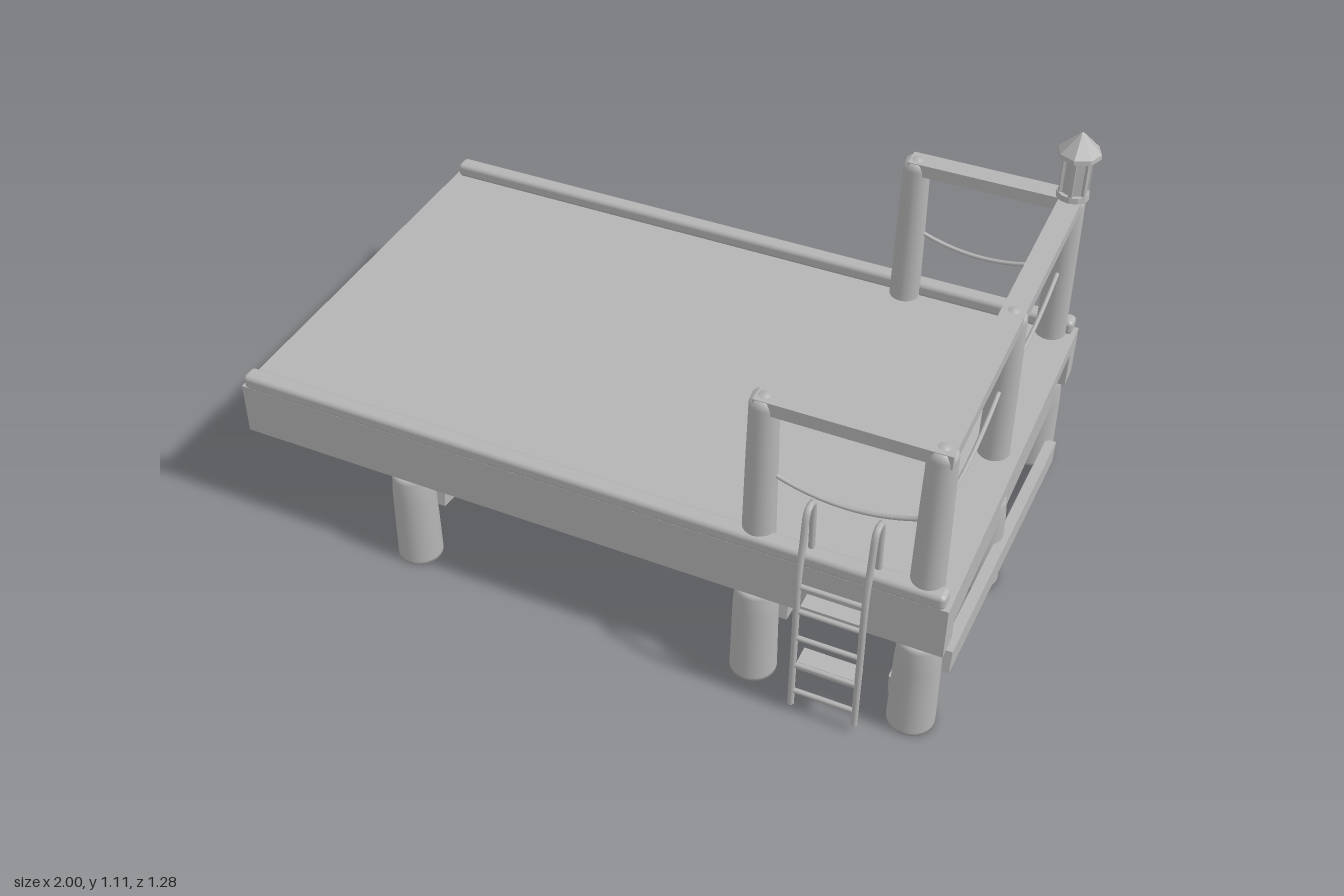
import * as THREE from 'three';
import { RoundedBoxGeometry } from 'three/addons/geometries/RoundedBoxGeometry.js';

const wood = new THREE.MeshStandardMaterial({ color: 0xb4b4b4 });
wood.name = 'plain grey';

const Z_FRONT = 0.53, Z_MID = -0.02, Z_BACK = -0.575;
const X_END = 0.92, X_INNER = 0.49, X_SHORE = -0.51;

export function createModel() {
  const model = new THREE.Group();
  model.name = 'dock';

  const add = (name, geometry, x = 0, y = 0, z = 0) => {
    const mesh = new THREE.Mesh(geometry, wood);
    mesh.name = name;
    mesh.position.set(x, y, z);
    model.add(mesh);
    return mesh;
  };
  // Box given by its extents
  const box = (name, x0, x1, y0, y1, z0, z1) =>
    add(name, new THREE.BoxGeometry(x1 - x0, y1 - y0, z1 - z0), (x0 + x1) / 2, (y0 + y1) / 2, (z0 + z1) / 2);
  // Round part turned from [radius, height] pairs
  const turned = (name, profile, x, z, sides = 24) =>
    add(name, new THREE.LatheGeometry(profile.map(([r, y]) => new THREE.Vector2(r, y)), sides), x, 0, z);
  const tube = (name, points, radius, steps = 24) =>
    add(name, new THREE.TubeGeometry(new THREE.CatmullRomCurve3(points), steps, radius, 8));

  // Deck, side beams and rounded kerbs
  box('deck', -1, 0.99, 0.41, 0.455, -0.62, 0.577);
  box('frontBeam', -1, 0.99, 0.3, 0.41, 0.505, 0.577);
  box('backBeam', -1, 0.99, 0.3, 0.41, -0.62, -0.548);
  for (const [name, z] of [['frontKerb', 0.557], ['backKerb', -0.6]]) {
    add(name, new RoundedBoxGeometry(1.97, 0.045, 0.05, 3, 0.014), -0.005, 0.475, z);
  }

  // Piles under the deck
  const pile = (x, z) => turned('pile',
    [[0, 0], [0.062, 0], [0.062, 0.01], [0.059, 0.22], [0.055, 0.285], [0.049, 0.3], [0, 0.3]], x, z);
  // Sloping brace between the front and back piles
  const brace = (x, yFront, yBack) => {
    const dz = 1.04, dy = yFront - yBack;
    const mesh = add('crossBrace', new THREE.BoxGeometry(0.03, 0.068, Math.hypot(dz, dy)),
      x, (yFront + yBack) / 2, -0.022);
    mesh.rotation.x = -Math.atan2(dy, dz);
  };
  for (const x of [X_SHORE, X_INNER, X_END]) {
    pile(x, Z_FRONT);
    pile(x, Z_BACK);
    box('pileCrossbeam', x - 0.045, x + 0.045, 0.225, 0.295, Z_BACK, Z_FRONT);
    brace(x + 0.06, 0.203, 0.055);
    brace(x - 0.06, 0.055, 0.195);
  }
  pile(X_END, Z_MID);

  // Railing posts
  const posts = [[X_INNER, Z_FRONT], [X_END, Z_FRONT], [X_END, Z_MID], [X_END, Z_BACK], [X_INNER, Z_BACK]];
  for (const [x, z] of posts) {
    turned('railingPost', [[0.043, 0.45], [0.04, 0.7], [0.037, 0.885], [0.031, 0.908], [0, 0.912]], x, z);
  }

  // Top rails
  box('frontRail', X_INNER - 0.02, X_END + 0.03, 0.873, 0.91, 0.497, 0.557);
  box('backRail', X_INNER - 0.02, X_END + 0.03, 0.873, 0.91, -0.607, -0.547);
  box('endRail', X_END - 0.03, X_END + 0.03, 0.873, 0.91, -0.6, 0.555);

  // Ropes sagging from post to post
  for (let i = 0; i + 1 < posts.length; i++) {
    const [x0, z0] = posts[i], [x1, z1] = posts[i + 1];
    const points = [];
    for (let k = 0; k <= 8; k++) {
      const t = k / 8;
      const y = 0.69 - 0.05 * (1 - (2 * t - 1) ** 2);
      points.push(new THREE.Vector3(x0 + (x1 - x0) * t, y, z0 + (z1 - z0) * t));
    }
    tube('rope', points, 0.006);
  }

  // Ladder: hooked side rails, rungs and spacer blocks
  const ladderPath = [[0.02, 0.629], [0.25, 0.629], [0.46, 0.629], [0.56, 0.613], [0.645, 0.599],
    [0.656, 0.59], [0.656, 0.565], [0.645, 0.555], [0.56, 0.549], [0.47, 0.546]];
  for (const x of [0.633, 0.803]) {
    tube('ladderRail', ladderPath.map(([y, z]) => new THREE.Vector3(x, y, z)), 0.009, 60);
    const foot = add('ladderFoot', new THREE.CircleGeometry(0.009, 8), x, 0.02, 0.629);
    foot.rotation.x = Math.PI / 2;
  }
  for (const y of [0.07, 0.165, 0.262, 0.355, 0.44]) {
    const rung = add('ladderRung', new THREE.CylinderGeometry(0.007, 0.007, 0.17, 10), 0.718, y, 0.629);
    rung.rotation.z = Math.PI / 2;
  }
  for (const y of [0.155, 0.353]) {
    box('ladderSpacer', 0.64, 0.796, y - 0.013, y + 0.013, 0.57, 0.622);
  }

  // Lantern on the back corner post
  const lantern = (name, top, bottom, y0, y1, sides) => {
    const geometry = new THREE.CylinderGeometry(top, bottom, y1 - y0, sides).toNonIndexed();
    geometry.computeVertexNormals();
    return add(name, geometry, X_END, (y0 + y1) / 2, Z_BACK);
  };
  lantern('lanternBase', 0.043, 0.045, 0.908, 0.926, 12);
  lantern('lanternGlass', 0.035, 0.035, 0.926, 1.042, 6);
  for (let i = 0; i < 6; i++) {
    const a = i * Math.PI / 3;
    const bar = add('lanternBar', new THREE.BoxGeometry(0.01, 0.116, 0.01),
      X_END + 0.036 * Math.sin(a), 0.984, Z_BACK + 0.036 * Math.cos(a));
    bar.rotation.y = a;
  }
  lantern('lanternEave', 0.058, 0.06, 1.038, 1.05, 8);
  lantern('lanternRoof', 0.008, 0.058, 1.05, 1.1, 8);
  lantern('lanternTip', 0.002, 0.008, 1.1, 1.105, 8);

  return model;
}
